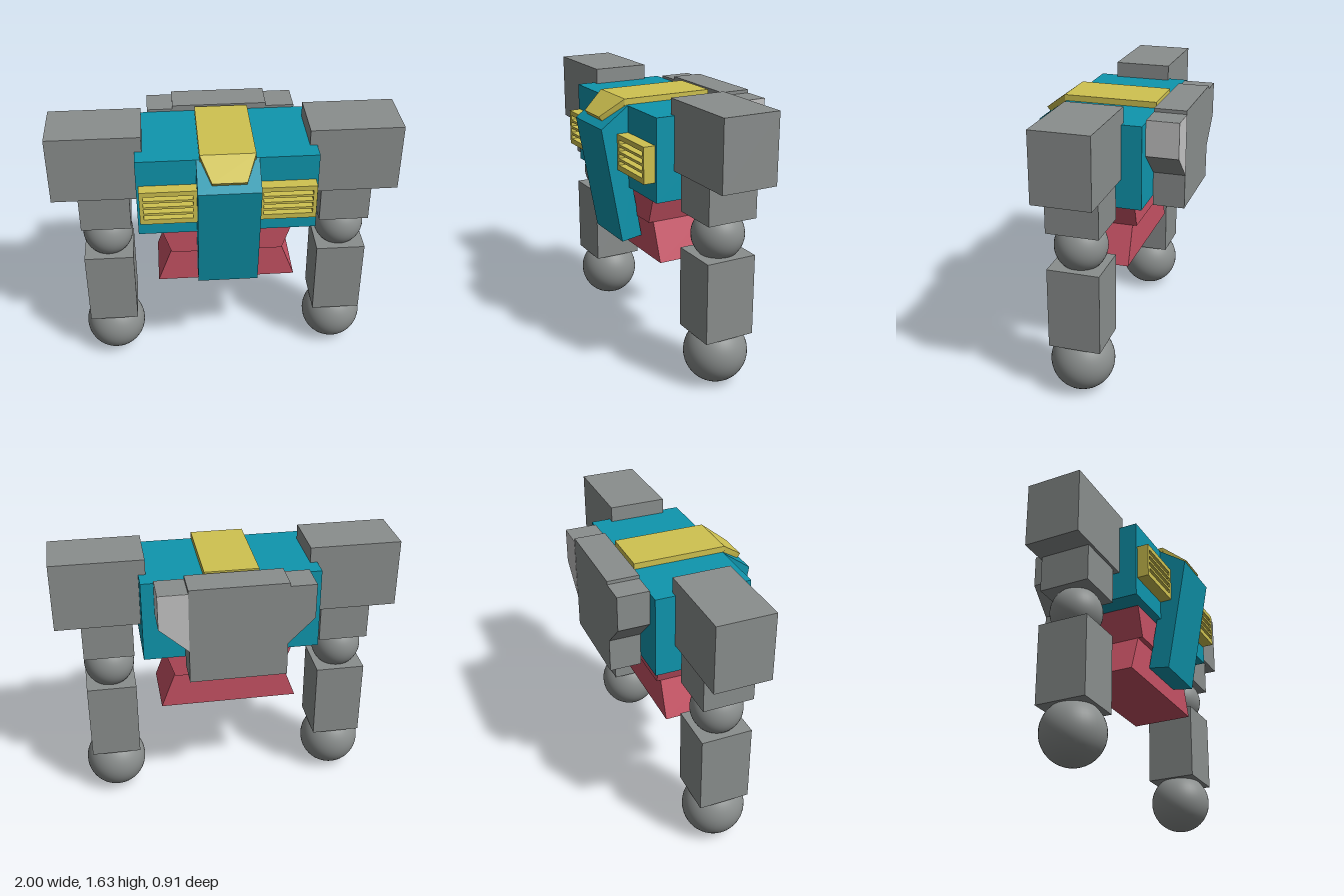
import * as THREE from 'three';

function material(name, color) {
  const m = new THREE.MeshStandardMaterial({ color });
  m.name = name;
  return m;
}

export function createModel() {
  const root = new THREE.Group();
  root.name = 'robotTorso';
  const grey = material('grey', 0x8a8e8d);
  const lightGrey = material('lightGrey', 0xc4c4c4);
  const teal = material('teal', 0x0f96ae);
  const yellow = material('yellow', 0xcfc250);
  const red = material('red', 0xc65264);

  function add(name, geometry, mat, parent = root) {
    const mesh = new THREE.Mesh(geometry, mat);
    mesh.name = name;
    parent.add(mesh);
    return mesh;
  }
  // Box given by its limits on each axis
  function box(x0, x1, y0, y1, z0, z1) {
    return new THREE.BoxGeometry(x1 - x0, y1 - y0, z1 - z0)
      .translate((x0 + x1) / 2, (y0 + y1) / 2, (z0 + z1) / 2);
  }
  const outline = (pts) => new THREE.Shape(pts.map(([a, b]) => new THREE.Vector2(a, b)));
  // Front outline (x, y) extruded between two z values
  function frontPrism(shape, z0, z1) {
    return new THREE.ExtrudeGeometry(shape, { depth: z1 - z0, bevelEnabled: false }).translate(0, 0, z0);
  }
  // Side outline (z, y) extruded across x, centred
  function sidePrism(pts, width) {
    return new THREE.ExtrudeGeometry(outline(pts), { depth: width, bevelEnabled: false })
      .rotateY(-Math.PI / 2).translate(width / 2, 0, 0);
  }

  // Chest and sloping centre plate
  add('chest', box(-0.51, 0.51, 1.06, 1.54, -0.27, 0.29), teal);
  add('centrePlate', sidePrism(
    [[0.21, 0.75], [0.335, 0.73], [0.457, 1.42], [0.29, 1.54], [0.27, 1.5], [0.27, 1.09]], 0.35), teal);

  // Head cap: flat strip with a tapered flap
  add('capStrip', box(-0.155, 0.155, 1.53, 1.575, -0.25, 0.3), yellow);
  const flap = sidePrism([[0.28, 1.535], [0.415, 1.45], [0.435, 1.475], [0.3, 1.575]], 0.31);
  const p = flap.attributes.position;
  for (let i = 0; i < p.count; i++) {
    if (p.getZ(i) > 0.35) p.setX(i, p.getX(i) * 0.62);
  }
  flap.computeVertexNormals();
  add('capFlap', flap, yellow);

  // Waist: two opposed wedges
  add('upperWaist', frontPrism(outline(
    [[-0.325, 0.88], [0.325, 0.88], [0.385, 1.06], [-0.385, 1.06]]), -0.19, 0.24), red);
  add('lowerWaist', frontPrism(outline(
    [[-0.41, 0.655], [0.41, 0.655], [0.325, 0.88], [-0.325, 0.88]]), -0.165, 0.21), red);

  // Backpack with chamfered side blocks
  add('backpack', box(-0.285, 0.27, 1.0, 1.575, -0.455, -0.27), grey);
  add('rightPackBlock', frontPrism(outline(
    [[-0.435, 1.35], [-0.285, 1.2], [-0.285, 1.555], [-0.435, 1.555]]), -0.455, -0.27), grey);
  add('leftPackBlock', frontPrism(outline(
    [[0.27, 1.2], [0.435, 1.35], [0.435, 1.555], [0.27, 1.555]]), -0.455, -0.27), grey);
  // Pale faces on the left block
  add('leftPackBackPanel', frontPrism(outline(
    [[0.27, 1.2], [0.435, 1.35], [0.435, 1.555], [0.27, 1.555]]), -0.457, -0.455), lightGrey);
  add('leftPackSidePanel', box(0.435, 0.437, 1.35, 1.555, -0.457, -0.27), lightGrey);

  for (const side of [1, -1]) {
    const label = side > 0 ? 'left' : 'right';

    // Chest vent with four open slots
    const vent = outline([[-0.16, -0.105], [0.16, -0.105], [0.16, 0.105], [-0.16, 0.105]]);
    for (let i = 0; i < 4; i++) {
      const y = 0.063 - i * 0.041;
      vent.holes.push(new THREE.Path([[-0.139, -0.013], [-0.139, 0.013], [0.139, 0.013], [0.139, -0.013]]
        .map(([a, b]) => new THREE.Vector2(a, y + b))));
    }
    const ventMesh = add(label + 'Vent', frontPrism(vent, 0.29, 0.36), yellow);
    ventMesh.position.set(side * 0.335, 1.28, 0);

    // Arm
    const arm = new THREE.Group();
    arm.name = label + 'Arm';
    arm.position.x = side * 0.703;
    root.add(arm);
    const shoulder = add('shoulder', box(-0.265, 0.265, 1.23, 1.63, -0.155, 0.18), grey, arm);
    shoulder.position.x = side * 0.031;
    add('upperArm', box(-0.147, 0.147, 1.01, 1.23, -0.138, 0.163), grey, arm);
    add('elbow', new THREE.SphereGeometry(0.15, 40, 24).translate(0, 0.903, 0.013), grey, arm);
    add('forearm', box(-0.147, 0.147, 0.32, 0.795, -0.138, 0.163), grey, arm);
    add('hand', new THREE.SphereGeometry(0.184, 40, 24).translate(0, 0.188, 0.013), grey, arm);
  }
  return root;
}
